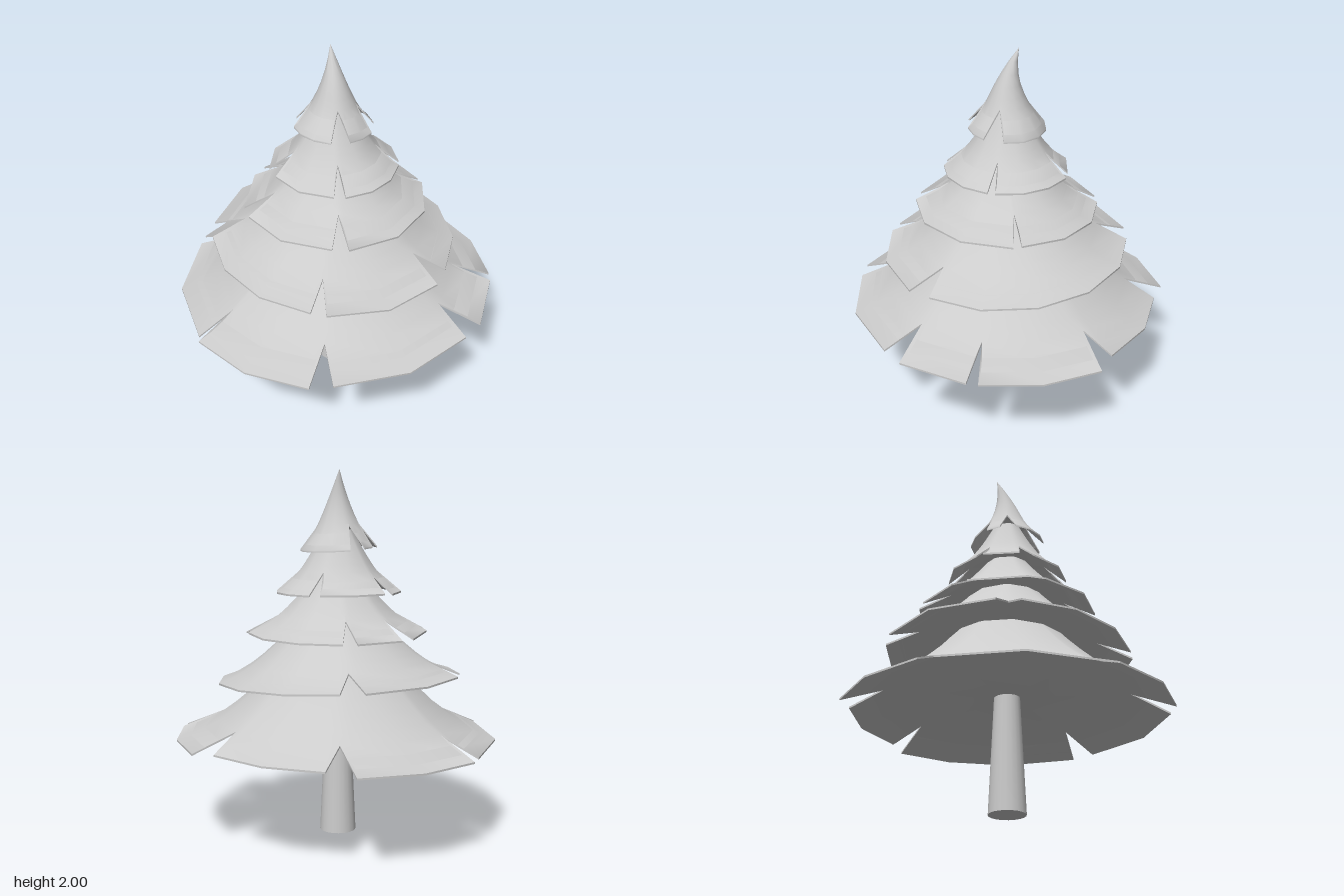
import * as THREE from 'three';
import { toCreasedNormals } from 'three/addons/utils/BufferGeometryUtils.js';

const CX = -0.025, CZ = 0.02; // axis of the tree
const THICKNESS = 0.01;

// Radii of the inner edge, notches and rim, heights of the inner edge and rim, slope along x and z,
// and per flap: start and end angle in degrees (from +x towards +z) and reach
const tiers = [
  { name: 'lowestBranches', inner: 0.3, notch: 0.66, rim: 0.9, top: 0.98, base: 0.545, tilt: [0.013, 0.013],
    flaps: [[-30, 12, 0.89], [16, 41, 0.89], [50, 104, 0.87], [112, 158, 0.89],
      [160, 217, 0.87], [222, 267, 0.89], [277, 322, 0.83]] },
  { name: 'lowerBranches', inner: 0.18, notch: 0.49, rim: 0.68, top: 1.25, base: 0.873, tilt: [-0.03, -0.03],
    flaps: [[-88, 40, 0.66], [51, 107, 0.68], [114, 188, 0.67], [199, 261, 0.67]] },
  { name: 'middleBranches', inner: 0.12, notch: 0.32, rim: 0.5, top: 1.44, base: 1.125, tilt: [0, 0.02],
    flaps: [[-90, -6, 0.49], [-1, 95, 0.5], [105, 170, 0.49], [181, 219, 0.49], [230, 261, 0.49]] },
  { name: 'upperBranches', inner: 0.08, notch: 0.21, rim: 0.345, top: 1.68, base: 1.345, tilt: [0, 0],
    flaps: [[-61, 13, 0.34], [20, 94, 0.34], [104, 168, 0.335], [183, 216, 0.345], [224, 289, 0.33]] },
  { name: 'crown', inner: 0, notch: 0.11, rim: 0.212, top: 2, base: 1.58, tilt: [-0.05, 0.03],
    flaps: [[-106, 8, 0.205], [38, 81, 0.208], [108, 180, 0.212], [205, 228, 0.2]] },
];

// Spokes [angle, radius] around the rim: several along each flap, one in each notch
function rimSpokes({ flaps, notch }) {
  const spokes = [];
  flaps.forEach(([start, end, reach], i) => {
    const segments = Math.max(1, Math.round((end - start) / 28));
    for (let k = 0; k <= segments; k++) {
      spokes.push([start + ((end - start) * k) / segments, reach]);
    }
    const next = i + 1 < flaps.length ? flaps[i + 1][0] : flaps[0][0] + 360;
    spokes.push([(end + next) / 2, notch]);
  });
  return spokes;
}

// Skirt of thin notched flaps: down the concave slope, back under the flaps, closed by a flat disc
function branchTier(tier) {
  const { inner, notch, rim, top, base, tilt } = tier;
  const STEPS = 5, rows = STEPS + 6;
  const spokes = rimSpokes(tier);
  const pos = [], index = [];
  const heightAt = (r) => base + (top - base) * (Math.max(0, rim - r) / (rim - inner)) ** 1.6;
  for (const [degrees, radius] of spokes) {
    const angle = THREE.MathUtils.degToRad(degrees);
    const c = Math.cos(angle), s = Math.sin(angle);
    const put = (r, y) => {
      const bend = Math.max(0, (y - 1.75) / 0.25) ** 2; // the tip curls backwards
      pos.push(CX + c * r - 0.005 * bend, y + r * (c * tilt[0] + s * tilt[1]), CZ + s * r - 0.06 * bend);
    };
    for (let j = 0; j <= STEPS; j++) {
      const r = THREE.MathUtils.lerp(inner, notch, j / STEPS);
      put(r, heightAt(r));
    }
    const middle = (notch + radius) / 2;
    put(middle, heightAt(middle));
    put(radius, heightAt(radius));
    put(radius, heightAt(radius) - THICKNESS);
    put(notch, heightAt(notch) - THICKNESS);
    put(0, heightAt(notch) - THICKNESS);
  }
  for (let i = 0; i < spokes.length; i++) {
    const a = i * rows, b = ((i + 1) % spokes.length) * rows;
    for (let j = 0; j < rows - 1; j++) {
      index.push(a + j, b + j, a + j + 1, a + j + 1, b + j, b + j + 1);
    }
  }
  const geo = new THREE.BufferGeometry();
  geo.setAttribute('position', new THREE.Float32BufferAttribute(pos, 3));
  geo.setIndex(index);
  return toCreasedNormals(geo, 0.9);
}

export function createModel() {
  const tree = new THREE.Group();
  tree.name = 'pineTree';
  const grey = new THREE.MeshStandardMaterial({ color: 0xcccccc, side: THREE.DoubleSide });

  // Tapered trunk
  const trunk = new THREE.Mesh(new THREE.CylinderGeometry(0.07, 0.1, 0.64, 20), grey);
  trunk.name = 'trunk';
  trunk.position.set(CX, 0.32, CZ);
  tree.add(trunk);

  // Stacked tiers of branches
  for (const tier of tiers) {
    const mesh = new THREE.Mesh(branchTier(tier), grey);
    mesh.name = tier.name;
    tree.add(mesh);
  }
  return tree;
}
